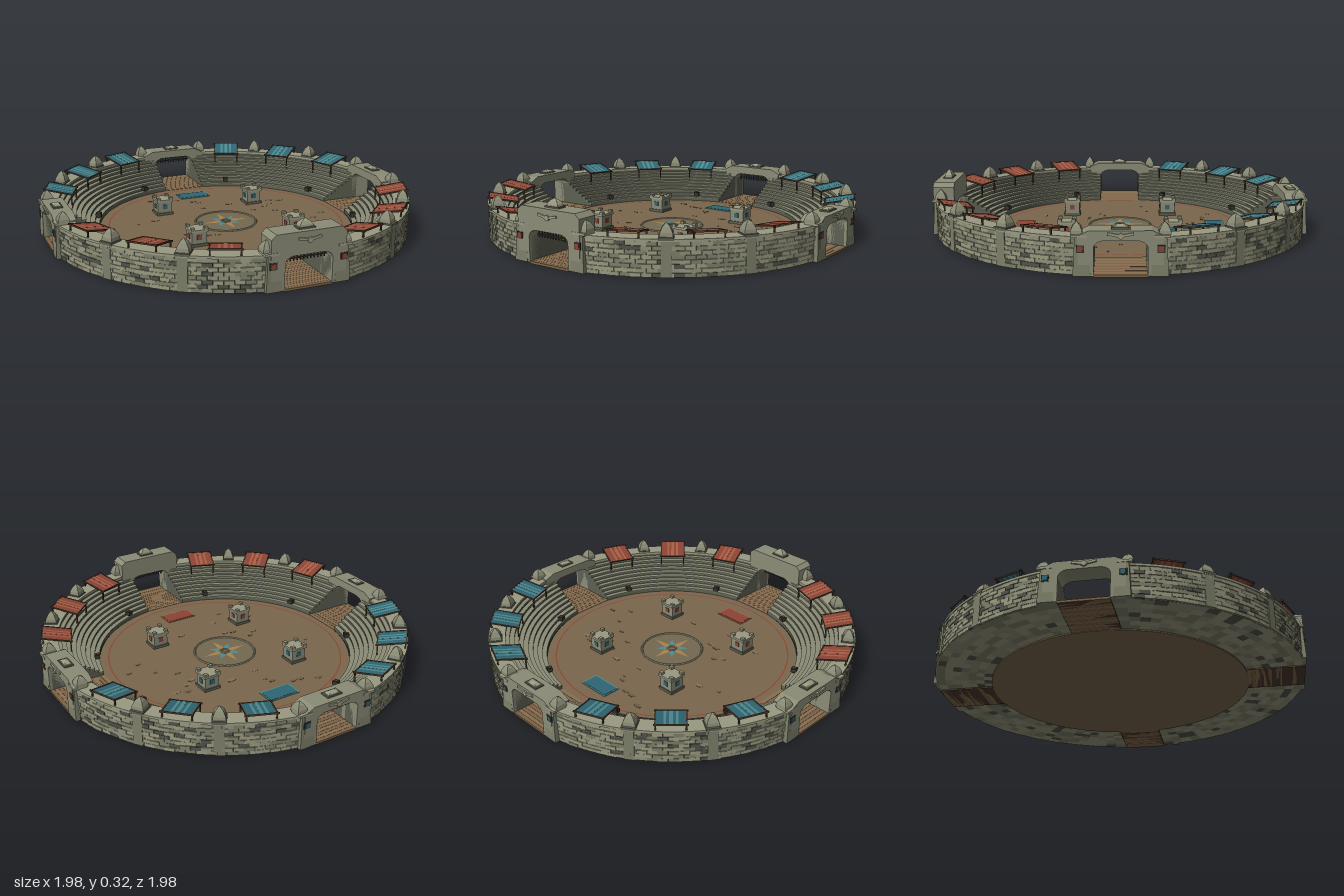
import * as THREE from 'three';
import { mergeGeometries } from 'three/addons/utils/BufferGeometryUtils.js';

const mat = (color, side = THREE.FrontSide) => new THREE.MeshStandardMaterial({ color, side, flatShading: true });
const STONE = mat(0x8b8c76), PALE = mat(0x9a9a82), DARK = mat(0x5d6052), SAND = mat(0x7a674c), IRON = mat(0x35352f);
const WOOD = mat(0x4a382a), PLANK = [mat(0x8a6f50), mat(0x7c6347)], RED = mat(0x8c4335), BLUE = mat(0x2f6674);
const RED_LIGHT = mat(0xa65f45), BLUE_LIGHT = mat(0x4f8c90), GOLD = mat(0xa8824c);
const BRICKS = [mat(0x8f9079), mat(0x7d7f69), mat(0x9b9a80), mat(0x50534a)];
const GATE_HALF = 0.12, BASE = 0.008, WALL_TOP = 0.18;

let seed = 7;
const rand = () => (seed = (seed * 16807) % 2147483647) / 2147483647;

function add(parent, name, geometry, material, x = 0, y = 0, z = 0) {
  const mesh = new THREE.Mesh(geometry, material);
  mesh.name = name;
  mesh.position.set(x, y, z);
  parent.add(mesh);
  return mesh;
}
const box = (p, name, w, h, d, m, x, y, z) => add(p, name, new THREE.BoxGeometry(w, h, d), m, x, y, z);

// Group on a circle whose local +z points outward
function spoke(parent, name, angle, r = 0, y = 0) {
  const g = new THREE.Group();
  g.name = name;
  g.position.set(Math.sin(angle) * r, y, Math.cos(angle) * r);
  g.rotation.y = angle;
  parent.add(g);
  return g;
}

// Quarter ring between two gates, with ends parallel to the passages
function sector(r0, r1, half, y0, y1) {
  const a0 = Math.asin(half / r0), a1 = Math.asin(half / r1), s = new THREE.Shape();
  s.absarc(0, 0, r1, a1, Math.PI / 2 - a1, false);
  s.absarc(0, 0, r0, Math.PI / 2 - a0, a0, true);
  s.closePath();
  return new THREE.ExtrudeGeometry(s, { depth: y1 - y0, bevelEnabled: false, curveSegments: 20 })
    .rotateX(-Math.PI / 2).translate(0, y0, 0);
}

// Pointed four-sided finial
function finial(w, h, d) {
  const pts = [[0.5, 0], [0.47, 0.3], [0.3, 0.68], [0, 1]].map(([x, y]) => new THREE.Vector2(x * Math.SQRT2, y));
  return new THREE.LatheGeometry(pts, 4).rotateY(Math.PI / 4).scale(w, h, d);
}

function buildFloor(root) {
  const floor = new THREE.Group();
  floor.name = 'arenaFloor';
  root.add(floor);
  add(floor, 'sandDisc', new THREE.CylinderGeometry(0.69, 0.69, 0.012, 72), SAND, 0, 0.006, 0);
  const ring = (name, r0, r1, m, y) => add(floor, name, new THREE.RingGeometry(r0, r1, 72).rotateX(-Math.PI / 2), m, 0, y, 0);
  ring('boundaryLine', 0.638, 0.645, RED, 0.0135);
  ring('medallion', 0.02, 0.16, mat(0x746850), 0.0135);
  add(floor, 'medallionRim', new THREE.TorusGeometry(0.167, 0.006, 6, 56).rotateX(Math.PI / 2), STONE, 0, 0.013, 0);
  add(floor, 'medallionHub', new THREE.TorusGeometry(0.022, 0.005, 6, 24).rotateX(Math.PI / 2), PALE, 0, 0.015, 0);

  // Eight-pointed compass star
  for (let i = 0; i < 8; i++) {
    const len = i % 2 ? 0.09 : 0.13;
    const s = new THREE.Shape([[0, 0.02], [0.017, 0.045], [0, len], [-0.017, 0.045]].map(p => new THREE.Vector2(...p)));
    const ray = add(floor, 'starRay', new THREE.ShapeGeometry(s).rotateX(-Math.PI / 2), i % 2 ? BLUE_LIGHT : GOLD, 0, 0.015, 0);
    ray.rotation.y = i * Math.PI / 4;
  }

  // Team mats
  for (const [z, m, trim] of [[0.525, RED, RED_LIGHT], [-0.525, BLUE, BLUE_LIGHT]]) {
    box(floor, 'startMatBorder', 0.18, 0.003, 0.1, trim, 0, 0.0135, z);
    box(floor, 'startMat', 0.165, 0.004, 0.085, m, 0, 0.0145, z);
  }

  // Worn patches in the sand
  const patches = [mat(0x857255), mat(0x6d5b44)];
  for (let i = 0; i < 28; i++) {
    const a = rand() * 6.28, r = 0.2 + rand() * 0.41, s = 0.008 + rand() * 0.01;
    add(floor, 'sandPatch', new THREE.CylinderGeometry(s, s, 0.002, 7).scale(1.5, 1, 0.7), patches[i % 2],
      Math.sin(a) * r, 0.0125, Math.cos(a) * r);
  }

  // Cover blocks with corner studs and shields
  for (const x of [-0.275, 0.275]) for (const z of [-0.275, 0.275]) {
    const g = new THREE.Group();
    g.name = 'coverBlock';
    g.position.set(x, 0.012, z);
    floor.add(g);
    box(g, 'blockFoot', 0.094, 0.014, 0.094, DARK, 0, 0.007, 0);
    box(g, 'blockBody', 0.082, 0.07, 0.082, STONE, 0, 0.045, 0);
    box(g, 'blockCap', 0.094, 0.012, 0.094, PALE, 0, 0.082, 0);
    for (const sx of [-1, 1]) for (const sz of [-1, 1]) box(g, 'cornerStud', 0.02, 0.014, 0.02, STONE, sx * 0.036, 0.094, sz * 0.036);
    for (let i = 0; i < 4; i++) {
      const face = spoke(g, 'blockFace', i * Math.PI / 2, 0.042, 0.048);
      box(face, 'shield', 0.026, 0.026, 0.005, z > 0 ? RED : BLUE, 0, 0, 0);
    }
  }
}

function buildStands(root) {
  const STEPS = 9, R0 = 0.69, R1 = 0.905;
  const courses = BRICKS.map(() => []);
  for (let q = 0; q < 4; q++) {
    const stand = spoke(root, 'stand', q * Math.PI / 2);
    // Seat rows
    for (let i = 0; i < STEPS; i++) {
      const r = R0 + (R1 - R0) * i / STEPS, top = 0.035 + 0.125 * i / (STEPS - 1);
      const next = R0 + (R1 - R0) * (i + 1) / STEPS;
      add(stand, 'seatRow', sector(r + 0.004, next + 0.004, GATE_HALF, BASE, top - 0.005), DARK);
      add(stand, 'seatEdge', sector(r, next + 0.002, GATE_HALF, top - 0.005, top), STONE);
    }
    add(stand, 'wallCore', sector(0.905, 0.975, GATE_HALF, BASE, WALL_TOP - 0.008), DARK);
    add(stand, 'wallCoping', sector(0.9, 0.989, GATE_HALF, WALL_TOP - 0.008, WALL_TOP + 0.004), PALE);
    // Stones of the underside
    for (let k = 0; k < 7; k++) for (let j = 0; j < 20; j++) {
      const r = 0.69 + k * 0.041, a = Math.asin(GATE_HALF / r), step = (Math.PI / 2 - 2 * a) / 20;
      const g = new THREE.RingGeometry(r, r + 0.041, 2, 1, a + j * step, step).rotateX(Math.PI / 2).translate(0, BASE - 0.002, 0);
      courses[Math.floor(rand() * 3.3)].push(g.rotateY(q * Math.PI / 2));
    }
  }
  // Brick courses on the outer wall
  const rows = 8, h = (WALL_TOP - 0.008 - BASE) / rows, half = 0.19, count = 24;
  for (let q = 0; q < 4; q++) for (let row = 0; row < rows; row++) {
    const step = (Math.PI / 2 - 2 * half) / count;
    for (let j = 0; j < count; j++) {
      const a = q * Math.PI / 2 + half + (j + (row % 2 ? 0.75 : 0.25)) * step;
      const r = 0.973 + rand() * 0.005, tint = Math.floor(rand() * 3.45);
      courses[tint].push(new THREE.BoxGeometry(step * 0.97, h - 0.0015, 0.02).translate(0, BASE + (row + 0.5) * h, r).rotateY(a));
    }
  }
  courses.forEach((list, i) => add(root, 'wallStones', mergeGeometries(list), BRICKS[i]));
}

function buildAwning(root, angle, cloth, light) {
  const g = spoke(root, 'awning', angle, 0.905);
  const roof = new THREE.Group();
  roof.name = 'awningRoof';
  roof.position.y = 0.201;
  roof.rotation.x = -0.19;
  g.add(roof);
  const widths = [0.036, 0.012, 0.044, 0.012, 0.036];
  let x = -0.07;
  widths.forEach((w, i) => {
    box(roof, 'clothStripe', w, 0.004, 0.15, i % 2 ? light : cloth, x + w / 2, 0, 0);
    x += w;
  });
  box(roof, 'clothCentre', 0.018, 0.005, 0.15, light, 0, 0, 0);
  for (const s of [-1, 1]) {
    box(roof, 'sidePole', 0.006, 0.008, 0.165, WOOD, s * 0.072, 0, 0);
    box(roof, 'endPole', 0.16, 0.008, 0.006, WOOD, 0, 0, s * 0.076);
    box(g, 'innerPost', 0.007, 0.085, 0.007, WOOD, s * 0.07, 0.145, -0.071);
    box(g, 'outerPost', 0.007, 0.045, 0.007, WOOD, s * 0.07, 0.194, 0.071);
  }
}

function buildGate(root, index) {
  const g = spoke(root, 'gate', index * Math.PI / 2);
  const tall = index === 0, team = index < 2 ? RED : BLUE;
  const top = tall ? 0.278 : 0.214, side = tall ? 0.255 : 0.19, crown = tall ? 0.165 : 0.14;
  // Arched gatehouse
  const s = new THREE.Shape();
  s.moveTo(-0.19, BASE);
  s.lineTo(-0.19, side);
  s.lineTo(-crown, top);
  s.lineTo(crown, top);
  s.lineTo(0.19, side);
  s.lineTo(0.19, BASE);
  s.lineTo(GATE_HALF, BASE);
  s.lineTo(GATE_HALF, 0.135);
  s.quadraticCurveTo(0.117, 0.16, 0.08, 0.168);
  s.lineTo(-0.08, 0.168);
  s.quadraticCurveTo(-0.117, 0.16, -GATE_HALF, 0.135);
  s.lineTo(-GATE_HALF, BASE);
  add(g, 'gatehouse', new THREE.ExtrudeGeometry(s, { depth: 0.11, bevelEnabled: false, curveSegments: 6 }), STONE, 0, 0, 0.873);
  // Roof ornament and winged crest
  box(g, 'roofPlate', 0.085, 0.008, 0.05, DARK, 0, top + 0.003, 0.93);
  add(g, 'roofFinial', finial(0.07, tall ? 0.04 : 0.016, 0.04), PALE, 0, top + 0.005, 0.93);
  const crestY = tall ? 0.237 : 0.19;
  add(g, 'crestBoss', new THREE.CylinderGeometry(0.014, 0.014, 0.014, 8).rotateX(Math.PI / 2), PALE, 0, crestY, 0.985);
  for (const m of [-1, 1]) {
    const wing = box(g, 'crestWing', 0.05, 0.012, 0.01, PALE, m * 0.033, crestY + 0.006, 0.985);
    wing.rotation.z = m * 0.2;
    // Tapered buttresses with shields and finials
    const pier = new THREE.CylinderGeometry(0.5, 0.66, 1, 4, 1).rotateY(Math.PI / 4).scale(0.085, 0.175, 0.06);
    add(g, 'buttress', pier, BRICKS[1], m * 0.173, BASE + 0.0875, 0.957);
    box(g, 'buttressCap', 0.07, 0.012, 0.07, PALE, m * 0.185, 0.188, 0.95);
    add(g, 'buttressFinial', finial(0.055, 0.055, 0.06), STONE, m * 0.195, 0.193, 0.94);
    box(g, 'shieldFrame', 0.036, 0.034, 0.01, IRON, m * 0.178, 0.132, 0.98);
    box(g, 'shield', 0.024, 0.024, 0.014, team, m * 0.178, 0.132, 0.981);
    // Braziers at the front of the stands
    const b = spoke(g, 'brazier', m * 0.387, 0.702, 0.035);
    box(b, 'brazierBowl', 0.03, 0.02, 0.03, IRON, 0, 0.017, 0);
    box(b, 'brazierFoot', 0.016, 0.01, 0.016, IRON, 0, 0.004, 0);
    box(b, 'embers', 0.02, 0.004, 0.02, WOOD, 0, 0.028, 0);
  }
  // Raised portcullis on the main axis
  if (index % 2 === 0) {
    for (let i = 0; i < 13; i++) box(g, 'portcullisBar', 0.005, 0.045, 0.006, IRON, (i - 6) * 0.0175, 0.146, 0.93);
    for (const y of [0.137, 0.154]) box(g, 'portcullisRail', 0.23, 0.005, 0.008, IRON, 0, y, 0.93);
  }
  // Plank passage floor
  for (let i = 0; i < 14; i++) box(g, 'passagePlank', 0.24, 0.012, 0.0205, PLANK[i % 2], 0, 0.008, 0.692 + i * 0.0215);
  box(g, 'passageBed', 0.24, 0.008, 0.3, WOOD, 0, 0.006, 0.83);
}

export function createModel() {
  const root = new THREE.Group();
  root.name = 'arena';
  buildFloor(root);
  buildStands(root);
  for (let q = 0; q < 4; q++) {
    buildGate(root, q);
    for (const deg of [22.5, 45, 67.5]) {
      const a = q * Math.PI / 2 + THREE.MathUtils.degToRad(deg), front = Math.cos(a) > 0;
      buildAwning(root, a, front ? RED : BLUE, front ? RED_LIGHT : BLUE_LIGHT);
    }
    // Wall pilasters with finials
    for (const deg of [33.75, 56.25]) {
      const p = spoke(root, 'pilaster', q * Math.PI / 2 + THREE.MathUtils.degToRad(deg), 0.95);
      box(p, 'pilasterShaft', 0.05, 0.17, 0.03, BRICKS[1], 0, BASE + 0.085, 0.023);
      box(p, 'pilasterCap', 0.07, 0.014, 0.075, DARK, 0, 0.184, 0.003);
      add(p, 'pilasterFinial', finial(0.062, 0.063, 0.06), STONE, 0, 0.19, 0);
    }
  }
  return root;
}
